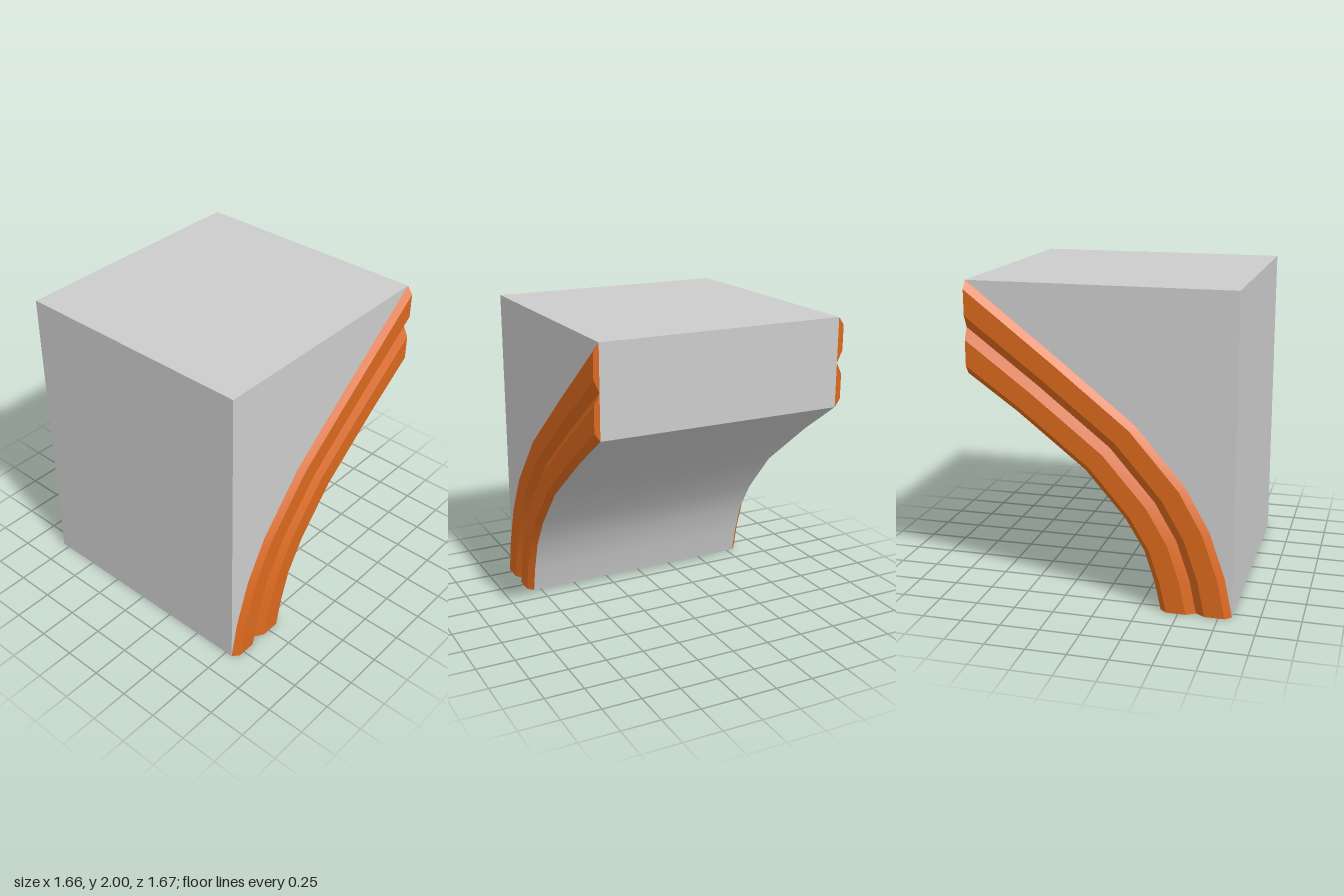
import * as THREE from 'three';
import { toCreasedNormals } from 'three/addons/utils/BufferGeometryUtils.js';

// Upper and lower edges of the curved band, from the foot to the tip
const outer = [[-0.83, 0], [-0.78, 0.25], [-0.68, 0.54], [-0.53, 0.81], [-0.22, 1.17], [0.24, 1.54], [0.83, 2]];
const inner = [[-0.385, 0], [-0.345, 0.18], [-0.28, 0.38], [-0.16, 0.58], [0.09, 0.87], [0.52, 1.21], [0.83, 1.43]];
// Moulding section: [fraction across the band, z], with a V groove in the middle
const Z = 0.798, Z2 = 0.834;
const section = [[0, Z], [0.09, Z2], [0.37, Z2], [0.5, Z], [0.63, Z2], [0.91, Z2], [1, Z]];

function mouldingGeometry(side) {
  const pos = [], index = [], n = section.length, last = (outer.length - 1) * n;
  outer.forEach(([ox, oy], i) => {
    const [ix, iy] = inner[i];
    for (const [t, z] of section) pos.push(ox + (ix - ox) * t, oy + (iy - oy) * t, z * side);
  });
  const tri = (a, b, c) => (side > 0 ? index.push(a, b, c) : index.push(a, c, b));
  for (let i = 0; i < outer.length - 1; i++) {
    for (let j = 0; j < n - 1; j++) {
      const a = i * n + j;
      tri(a, a + 1, a + n + 1);
      tri(a, a + n + 1, a + n);
    }
  }
  // End caps, one trapezoid for each ridge
  for (const k of [0, 3]) {
    for (const m of [1, 2]) {
      tri(k, k + m + 1, k + m);
      tri(last + k, last + k + m, last + k + m + 1);
    }
  }
  const g = new THREE.BufferGeometry();
  g.setAttribute('position', new THREE.Float32BufferAttribute(pos, 3));
  g.setIndex(index);
  return toCreasedNormals(g, 0.4);
}

export function createModel() {
  const group = new THREE.Group();
  const grey = new THREE.MeshStandardMaterial({ color: 0xcccccc });
  const orange = new THREE.MeshStandardMaterial({ color: 0xd9681d });

  // Block with an arched underside
  const outline = [[-0.83, 2], [-0.83, 0], ...inner, [0.83, 2]];
  const shape = new THREE.Shape(outline.map(([x, y]) => new THREE.Vector2(x, y)));
  const blockGeometry = new THREE.ExtrudeGeometry(shape, { depth: Z * 2, bevelEnabled: false });
  blockGeometry.translate(0, 0, -Z);
  const block = new THREE.Mesh(toCreasedNormals(blockGeometry, 0.4), grey);
  block.name = 'archBlock';
  group.add(block);

  // Grooved moulding on the front and back faces
  for (const side of [1, -1]) {
    const moulding = new THREE.Mesh(mouldingGeometry(side), orange);
    moulding.name = side > 0 ? 'frontMoulding' : 'backMoulding';
    group.add(moulding);
  }
  return group;
}
